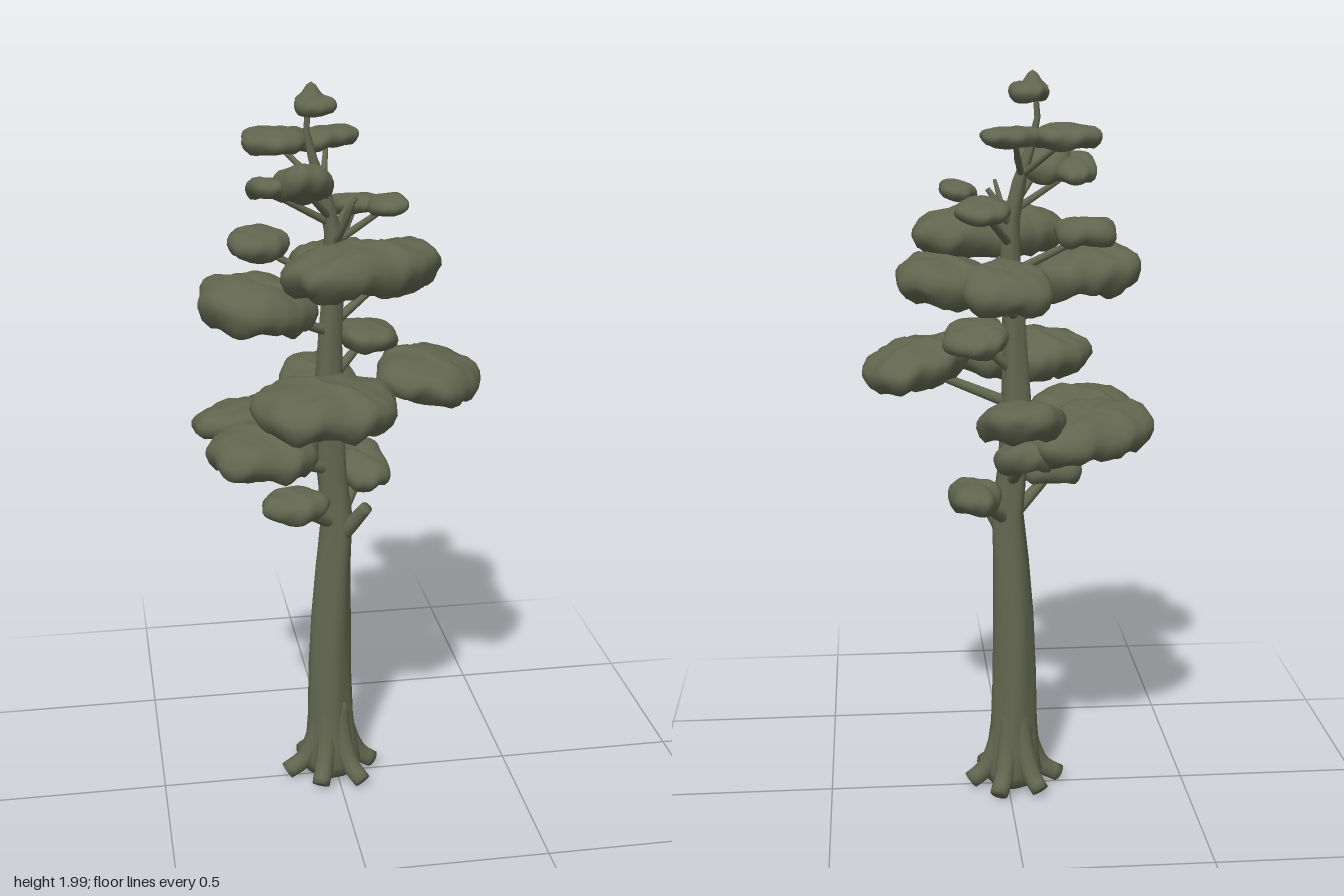
import * as THREE from 'three';

const mat = new THREE.MeshStandardMaterial({ color: 0x62664f });
mat.name = 'mossGreen';
const vec = (x, y, z) => new THREE.Vector3(x, y, z);

// Smooth closed skin through rings; at(i, t) gives the point at turn t of ring i.
function loft(name, rings, cols, at) {
  const pos = [], index = [];
  for (let i = 0; i < rings; i++)
    for (let j = 0; j < cols; j++) pos.push(...at(i, j / cols).toArray());
  for (let i = 0; i < rings - 1; i++)
    for (let j = 0; j < cols; j++) {
      const k = (j + 1) % cols, a = i * cols, b = a + cols;
      index.push(a + j, b + j, a + k, a + k, b + j, b + k);
    }
  const geo = new THREE.BufferGeometry();
  geo.setAttribute('position', new THREE.Float32BufferAttribute(pos, 3));
  geo.setIndex(index);
  geo.computeVertexNormals();
  const mesh = new THREE.Mesh(geo, mat);
  mesh.name = name;
  return mesh;
}

// Trunk rings: height, x, radius
const SPINE = [[0.02, -0.015, 0], [0.022, -0.015, 0.07], [0.06, -0.015, 0.08], [0.12, -0.015, 0.07],
  [0.2, -0.016, 0.062], [0.35, -0.018, 0.058], [0.52, -0.016, 0.055], [0.68, -0.008, 0.049],
  [0.82, 0.002, 0.045], [0.95, -0.012, 0.041], [1.1, -0.022, 0.043], [1.2, -0.02, 0.036],
  [1.35, -0.016, 0.03], [1.5, -0.005, 0.026], [1.62, -0.008, 0.022], [1.72, -0.03, 0.018],
  [1.81, -0.06, 0.012], [1.88, -0.076, 0.008], [1.95, -0.07, 0.007]];

// Trunk centre at a height
function spineAt(y) {
  const i = SPINE.findIndex(s => s[0] >= y), a = SPINE[i - 1], b = SPINE[i];
  return vec(THREE.MathUtils.mapLinear(y, a[0], b[0], a[1], b[1]), y, -0.005);
}

// Trunk with lengthwise ridges
function trunk() {
  return loft('trunk', SPINE.length, 32, (i, t) => {
    const [y, x, r] = SPINE[i], a = t * Math.PI * 2;
    const R = r * (1 + 0.05 * Math.sin(4 * a + y * 5) + 0.03 * Math.sin(7 * a - y * 9));
    return vec(x + R * Math.cos(a), y, -0.005 + R * 0.93 * Math.sin(a));
  });
}

// Tapered limb along a curved path
function limb(name, points, r0, r1) {
  const curve = new THREE.CatmullRomCurve3(points), n = 10;
  return loft(name, n + 3, 10, (i, t) => {
    const u = THREE.MathUtils.clamp((i - 1) / n, 0, 1), p = curve.getPoint(u);
    const T = curve.getTangent(u), B = T.clone().cross(vec(0, 1, 0.01)).normalize();
    const N = T.clone().cross(B), a = t * Math.PI * 2;
    const r = i === 0 || i === n + 2 ? 0 : r0 + (r1 - r0) * u;
    return p.addScaledVector(N, r * Math.cos(a)).addScaledVector(B, r * Math.sin(a));
  });
}

// Half section of a foliage pad, underside to crown: [spread, height]
const PAD = [[0, 0.2], [0.3, 0.12], [0.6, 0.03], [0.82, 0.08], [0.94, 0.24], [1, 0.42],
  [0.99, 0.58], [0.92, 0.74], [0.77, 0.88], [0.5, 0.97], [0.25, 1], [0, 1]];

// Lumpy rounded pad: centre, half widths, turn in degrees, height range, slope along x and z
function foliage(name, x, z, rx, rz, turn, y0, y1, sx = 0, sz = 0) {
  const H = y1 - y0, seed = y0 * 37 + x * 50, w = THREE.MathUtils.degToRad(turn);
  return loft(name, PAD.length, 48, (i, t) => {
    const [s, h] = PAD[i], a = t * Math.PI * 2, c = Math.cos(a), d = Math.sin(a);
    const square = (Math.abs(c) ** 2.3 + Math.abs(d) ** 2.3) ** (-1 / 2.3);
    const rough = 1 + 0.03 * Math.sin(3 * a + seed) + 0.035 * Math.sin(5 * a + seed * 2)
      + 0.02 * Math.sin(9 * a + seed + i * 0.4);
    const u = rx * c * s * square * rough, v = rz * d * s * square * rough;
    const dx = u * Math.cos(w) - v * Math.sin(w), dz = u * Math.sin(w) + v * Math.cos(w);
    const px = x + dx, pz = z + dz;
    const bump = Math.sin(px * 40 + seed) * Math.sin(pz * 36 + seed * 1.7)
      + 0.4 * Math.sin(px * 80 - pz * 65 + seed);
    return vec(px, y0 + H * (h + bump * (h < 0.4 ? 0.1 : 0.07)) + sx * dx + sz * dz, pz);
  });
}

export function createModel() {
  const tree = new THREE.Group();
  tree.name = 'tree';
  tree.add(trunk());

  // Six spreading roots
  for (let i = 0; i < 6; i++) {
    const a = THREE.MathUtils.degToRad(-6 + i * 60), reach = 0.122 + 0.01 * Math.sin(i * 2.5);
    const at = (r, y) => vec(-0.015 + r * Math.cos(a), y, -0.005 + r * Math.sin(a));
    tree.add(limb('root', [at(0.025, 0.25), at(0.045, 0.14), at(0.08, 0.062), at(reach, 0.028)], 0.03, 0.025));
  }

  // Foliage pad with a branch rising into it from the trunk
  function bough(name, x, z, rx, rz, turn, y0, y1, sx, sz) {
    const hub = vec(x, y0 + (y1 - y0) * 0.35, z), start = spineAt(hub.y - 0.1);
    const bend = start.clone().lerp(hub, 0.55).setY(hub.y - 0.045), r = 0.03 - 0.011 * hub.y;
    const group = new THREE.Group();
    group.name = name;
    group.add(foliage('foliage', x, z, rx, rz, turn, y0, y1, sx, sz), limb('branch', [start, bend, hub], r, r * 0.6));
    tree.add(group);
  }

  // Lowest small boughs and a bare stub
  bough('lowRightBough', -0.13, 0.11, 0.09, 0.07, 0, 0.87, 0.945);
  bough('lowLeftBough', 0.1, -0.15, 0.07, 0.125, 0, 0.87, 0.95, 0, -0.1);
  bough('smallRearBough', -0.03, -0.18, 0.08, 0.08, 0, 0.98, 1.06, 0, -0.2);
  tree.add(limb('stub', [spineAt(0.74), vec(0.04, 0.81, 0.03), vec(0.075, 0.865, 0.055)], 0.025, 0.017));
  // Lower tier
  bough('rightBough', -0.205, -0.12, 0.195, 0.12, -35, 1.025, 1.13, 0, 0.15);
  bough('rightFrontBough', -0.215, 0.13, 0.145, 0.14, 0, 1.02, 1.13);
  bough('rearBough', -0.02, -0.23, 0.11, 0.14, 15, 1.08, 1.18, 0, -0.2);
  // Middle tier
  bough('frontBough', -0.065, 0.22, 0.185, 0.155, 0, 1.16, 1.28);
  bough('leftBough', 0.24, 0.04, 0.18, 0.135, 112, 1.18, 1.29, -0.15);
  bough('midLeftBough', 0.09, -0.065, 0.085, 0.125, 0, 1.285, 1.355, -0.1, 0.1);
  // Upper tier
  bough('upperRightBough', -0.22, 0.105, 0.15, 0.145, 0, 1.405, 1.53, -0.1);
  bough('upperRearBough', 0.025, -0.235, 0.115, 0.135, 0, 1.425, 1.53, 0, 0.1);
  bough('upperLeftBough', 0.17, -0.14, 0.13, 0.14, 0, 1.425, 1.54, 0.1);
  bough('upperFrontBough', 0.035, 0.185, 0.225, 0.13, -27, 1.51, 1.63, 0.03, 0.06);
  bough('upperSmallBough', -0.2, -0.035, 0.08, 0.095, 0, 1.55, 1.625);
  // High small boughs
  bough('highRearBough', 0.075, -0.145, 0.07, 0.09, 0, 1.635, 1.685, 0, 0.1);
  bough('highLeftBough', 0.13, 0.025, 0.05, 0.078, 0, 1.67, 1.715, 0.1);
  bough('highRightBough', -0.18, 0.055, 0.055, 0.1, 0, 1.72, 1.775, -0.1, 0.2);
  bough('highFrontBough', -0.1, 0.1, 0.075, 0.092, 0, 1.725, 1.81, 0, 0.3);
  bough('topRightBough', -0.14, -0.11, 0.09, 0.09, 0, 1.81, 1.87);
  bough('topLeftBough', -0.005, -0.13, 0.1, 0.065, -40, 1.815, 1.865, 0.03);

  // Bare twigs near the top
  tree.add(limb('twig', [spineAt(1.58), vec(0.01, 1.64, 0.05), vec(0.027, 1.71, 0.1)], 0.013, 0.005));
  tree.add(limb('twig', [spineAt(1.6), vec(0.02, 1.65, -0.03), vec(0.055, 1.7, -0.02)], 0.013, 0.007));

  // Pointed crown
  tree.add(foliage('crown', -0.053, 0, 0.052, 0.07, 0, 1.92, 1.968));
  const tip = new THREE.Mesh(new THREE.LatheGeometry(
    [[0.042, 0], [0.025, 0.015], [0.012, 0.034], [0, 0.042]].map(p => new THREE.Vector2(...p)), 16), mat);
  tip.name = 'crownTip';
  tip.position.set(-0.062, 1.958, -0.012);
  tree.add(tip);
  return tree;
}
